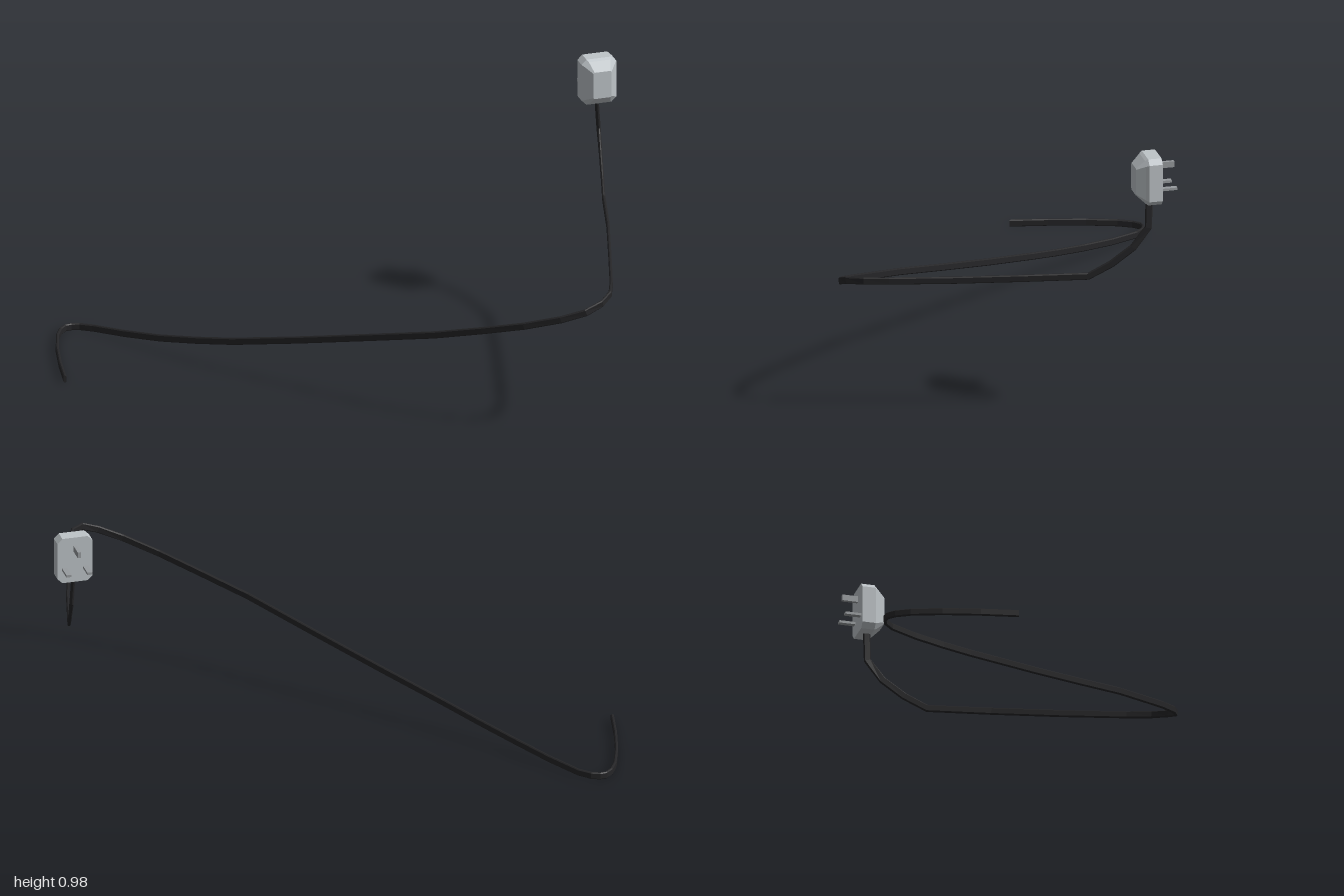
import * as THREE from 'three';

const V = (x, y, z) => new THREE.Vector3(x, y, z);

// Outline of a rectangle with cut corners, counter-clockwise
function cutRect(hw, hh, c) {
  return [[hw, -hh + c], [hw, hh - c], [hw - c, hh], [-hw + c, hh],
    [-hw, hh - c], [-hw, -hh + c], [-hw + c, -hh], [hw - c, -hh]];
}

// Skin a row of equal-sized rings and close both ends
function loft(rings) {
  const pos = [], n = rings[0].length;
  const tri = (...pts) => pts.forEach(p => pos.push(p.x, p.y, p.z));
  for (let i = 0; i < rings.length - 1; i++) {
    for (let j = 0; j < n; j++) {
      const k = (j + 1) % n, a = rings[i], b = rings[i + 1];
      tri(a[j], a[k], b[k]);
      tri(a[j], b[k], b[j]);
    }
  }
  const first = rings[0], last = rings[rings.length - 1];
  for (let j = 1; j < n - 1; j++) {
    tri(first[0], first[j + 1], first[j]);
    tri(last[0], last[j], last[j + 1]);
  }
  const g = new THREE.BufferGeometry();
  g.setAttribute('position', new THREE.Float32BufferAttribute(pos, 3));
  g.computeVertexNormals();
  return g;
}

// Flat cord: its thin side always stays horizontal
function cordGeometry(path) {
  const outline = cutRect(0.0055, 0.0128, 0.0035);
  const side = V(1, 0, 0);
  return loft(path.map((p, i) => {
    const t = path[Math.min(i + 1, path.length - 1)].clone().sub(path[Math.max(i - 1, 0)]).normalize();
    if (Math.hypot(t.x, t.z) > 0.1) side.set(t.z, 0, -t.x).normalize();
    const wide = t.clone().cross(side).normalize();
    return outline.map(([u, v]) => p.clone().addScaledVector(side, u).addScaledVector(wide, v));
  }));
}

export function createModel() {
  const model = new THREE.Group();
  const material = (name, color) => {
    const m = new THREE.MeshStandardMaterial({ color });
    m.name = name;
    return m;
  };
  const black = material('cord black', 0x252527);
  const grey = material('plug grey', 0xbfc5c9);
  const metal = material('pin grey', 0x989c9f);
  const add = (parent, name, geometry, mat, x = 0, y = 0, z = 0) => {
    const m = new THREE.Mesh(geometry, mat);
    m.name = name;
    m.position.set(x, y, z);
    parent.add(m);
  };

  // Cord from its loose end up to the plug
  const path = [
    [-0.995, 0.0145, -0.133], [-0.994, 0.0145, -0.267], [-0.986, 0.0145, -0.4], [-0.97, 0.0145, -0.51],
    [-0.952, 0.0145, -0.562], [-0.932, 0.0145, -0.588], [-0.91, 0.0145, -0.595], [-0.88, 0.0155, -0.59],
    [-0.837, 0.018, -0.565], [-0.74, 0.031, -0.473], [-0.628, 0.053, -0.364], [-0.51, 0.082, -0.258],
    [-0.398, 0.113, -0.16], [-0.19, 0.175, 0.003], [0.03, 0.244, 0.174], [0.243, 0.312, 0.341],
    [0.398, 0.36, 0.438], [0.537, 0.404, 0.52], [0.66, 0.444, 0.574], [0.746, 0.473, 0.591],
    [0.805, 0.496, 0.572], [0.842, 0.506, 0.515], [0.858, 0.509, 0.428], [0.885, 0.516, 0.193],
    [0.911, 0.526, -0.043], [0.927, 0.534, -0.267], [0.933, 0.58, -0.347], [0.937, 0.641, -0.423],
    [0.937, 0.714, -0.476], [0.93, 0.83, -0.48],
  ].map(p => V(...p));
  add(model, 'cord', cordGeometry(path), black);

  // Plug, turned slightly about the vertical
  const plug = new THREE.Group();
  plug.name = 'plug';
  plug.position.set(0.934, 0.899, -0.479);
  plug.rotation.y = 0.18;
  model.add(plug);

  // Body: slab with cut corners, a small bevel, then a taper to a flat front
  const sections = [
    [0.064, 0.086, 0.018, -0.033], [0.064, 0.086, 0.018, 0.015],
    [0.056, 0.079, 0.016, 0.025], [0.033, 0.05, 0.004, 0.056],
  ];
  add(plug, 'plugBody', loft(sections.map(([w, h, c, z]) => cutRect(w, h, c).map(([x, y]) => V(x, y, z)))), grey);

  // Tall upper pin and two flat lower pins
  add(plug, 'earthPin', new THREE.BoxGeometry(0.012, 0.022, 0.06), metal, 0, 0.044, -0.06);
  for (const s of [-1, 1]) {
    add(plug, s < 0 ? 'rightPin' : 'leftPin', new THREE.BoxGeometry(0.018, 0.009, 0.06), metal, s * 0.038, -0.033, -0.06);
  }
  return model;
}
